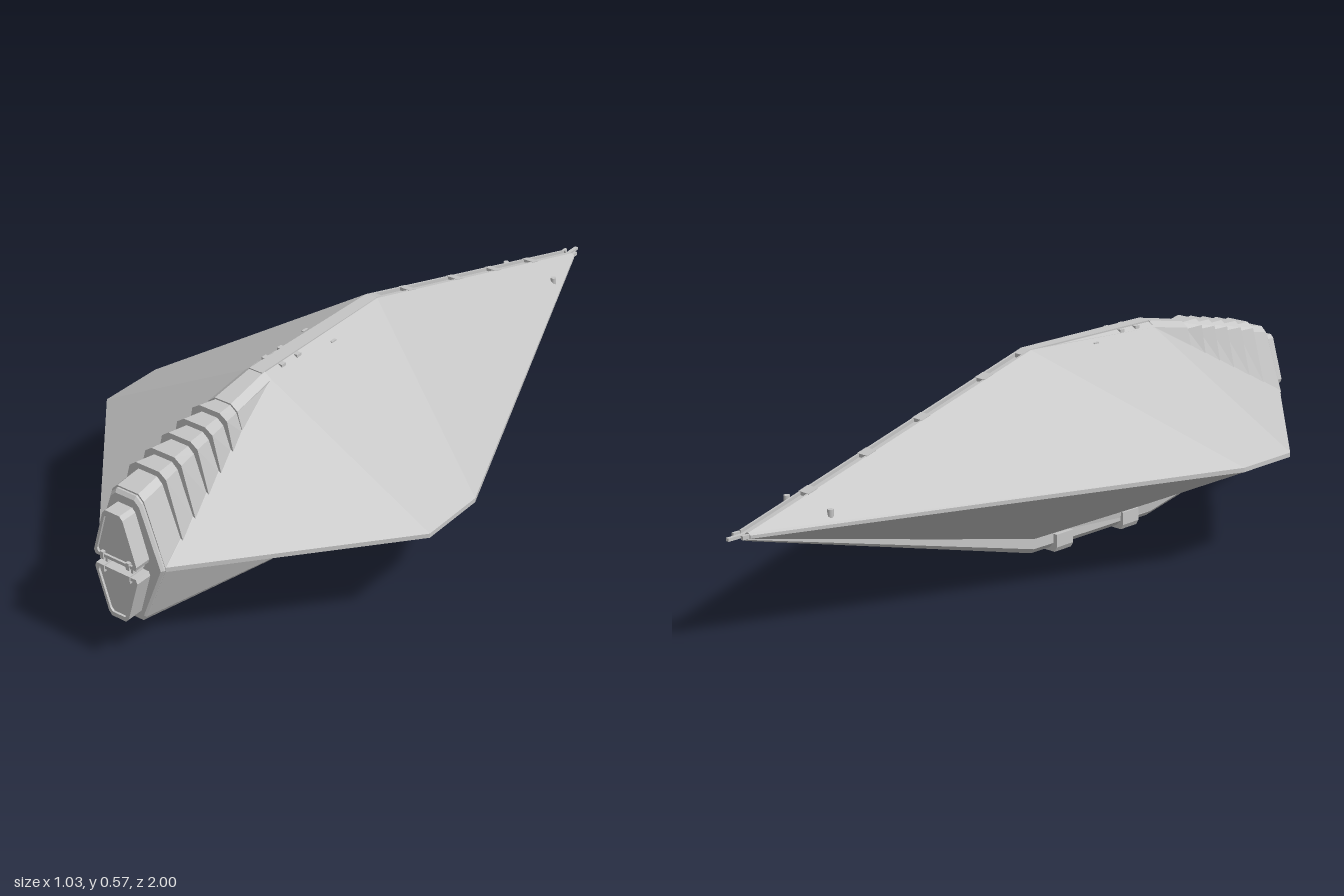
import * as THREE from 'three';

const TAIL = -0.95, NOSE = 0.94, MID = 0.286;

// Mirror a right-hand half profile (bottom to top) into a closed section at z
const ring = (half, z) => {
  const right = half.map(p => [p[0], p[1], p[2] ?? z]);
  return right.concat(right.map(p => [-p[0], p[1], p[2]]).reverse());
};

// Skin sections running from back to front, with flat facets and end caps
function loft(rings) {
  const pos = [];
  const tri = (a, b, c) => {
    const [A, B, C] = [a, b, c].map(p => new THREE.Vector3(...p));
    if (B.clone().sub(A).cross(C.clone().sub(A)).length() > 1e-9) pos.push(...a, ...b, ...c);
  };
  const n = rings[0].length;
  for (let r = 0; r < rings.length - 1; r++) {
    for (let i = 0; i < n; i++) {
      const j = (i + 1) % n, p = rings[r], q = rings[r + 1];
      tri(p[i], p[j], q[j]);
      tri(p[i], q[j], q[i]);
    }
  }
  const first = rings[0], last = rings[rings.length - 1];
  for (let i = 1; i < n - 1; i++) {
    tri(first[0], first[i + 1], first[i]);
    tri(last[0], last[i], last[i + 1]);
  }
  const g = new THREE.BufferGeometry();
  g.setAttribute('position', new THREE.Float32BufferAttribute(pos, 3));
  g.computeVertexNormals();
  return g;
}

export function createModel() {
  const model = new THREE.Group();
  const grey = new THREE.MeshStandardMaterial({ color: 0xc5c5c5 });
  grey.name = 'hull grey';
  const add = (name, geometry, x = 0, y = 0, z = 0) => {
    const m = new THREE.Mesh(geometry, grey);
    m.name = name;
    m.position.set(x, y, z);
    model.add(m);
    return m;
  };
  const box = (name, w, h, d, x, y, z) => add(name, new THREE.BoxGeometry(w, h, d), x, y, z);

  // Diamond hull with a thin band around its widest edge and a groove along the rear ridge
  add('hull', loft([
    ring([[0.012, 0.281], [0.024, 0.283], [0.024, 0.291], [0.016, 0.296], [0.011, 0.296], [0.011, 0.288]], TAIL),
    ring([[0.025, 0.05, 0], [0.515, 0.281, 0.27], [0.515, 0.293, 0.27], [0.018, 0.565, 0], [0.011, 0.565, 0], [0.011, 0.555, 0]]),
    ring([[0.04, 0.05], [0.515, 0.281], [0.515, 0.293], [0.04, 0.55], [0.02, 0.562], [0.011, 0.562]], 0.46),
    ring([[0.105, 0.281], [0.105, 0.281], [0.105, 0.293], [0.105, 0.293], [0.105, 0.293], [0.105, 0.293]], NOSE),
  ]));

  // Flat ridge cap closing the front of the groove
  add('ridgeCap', loft([
    ring([[0.011, 0.54], [0.011, 0.557]], -0.03),
    ring([[0.016, 0.55], [0.016, 0.566]], 0),
    ring([[0.02, 0.55], [0.02, 0.566]], 0.47),
  ]));

  // Keel running from the tail to the nose
  add('keel', loft([
    ring([[0.008, 0.274], [0.014, 0.278], [0.014, 0.284]], TAIL),
    ring([[0.018, 0.01], [0.03, 0.024], [0.03, 0.06]], 0),
    ring([[0.022, 0.01], [0.036, 0.024], [0.04, 0.052]], 0.46),
    ring([[0.03, 0.112], [0.04, 0.126], [0.105, 0.285]], NOSE),
  ]));

  // Keel clamps
  for (const z of [0.105, 0.37]) {
    const clamp = [[0.036, 0], [0.044, 0.014], [0.044, 0.05]];
    add('keelClamp', loft([ring(clamp, z - 0.032), ring(clamp, z + 0.032)]));
  }

  // Stepped spine plates, each flaring towards the nose
  const spineRing = (z, flare) => {
    const t = (z - 0.46) / (NOSE - 0.46);
    const top = 0.565 - 0.1 * t + flare;
    return ring([
      [0.04 + 0.063 * t + flare * 0.4, 0.545 - 0.255 * t],
      [0.04 + 0.005 * t + flare * 0.8, top - 0.015],
      [0.02 + 0.01 * t + flare * 0.5, top],
    ], z);
  };
  const steps = [0.46, 0.595, 0.645, 0.7, 0.755, 0.815, 0.87, NOSE];
  for (let i = 0; i < steps.length - 1; i++) {
    const flare = i === 0 || i === steps.length - 2 ? 0.004 : 0.015;
    add('spinePlate', loft([spineRing(steps[i], 0), spineRing(steps[i + 1], flare)]));
  }

  // Six-sided nose plate with a bevelled rim
  const nose = [[0.03, 0.112], [0.04, 0.126], [0.105, MID], [0.046, 0.45], [0.03, 0.465]];
  const inset = (pts, s, cy) => pts.map(([x, y]) => [x * s, cy + (y - cy) * s]);
  add('nosePlate', loft([ring(nose, 0.925), ring(nose, 0.945), ring(inset(nose, 0.95, MID), 0.952)]));

  // Upper and lower nose doors with recessed centres
  const upper = [[0.062, 0.297], [0.066, 0.308], [0.031, 0.424], [0.022, 0.434]];
  const lower = upper.map(([x, y]) => [x, 0.569 - y]).reverse();
  for (const [name, pts, cy] of [['upperDoor', upper, 0.355], ['lowerDoor', lower, 0.214]]) {
    const inner = inset(pts, 0.85, cy);
    add(name, loft([ring(pts, 0.945), ring(pts, 0.997), ring(inner, 0.997), ring(inner, 0.991)]));
  }

  // Hinge bar and hinges between the doors
  box('hingeBar', 0.1, 0.008, 0.03, 0, 0.285, 0.965);
  for (const x of [-0.04, 0.04]) {
    box('hinge', 0.01, 0.02, 0.05, x, 0.302, 0.975);
    box('hinge', 0.01, 0.02, 0.05, x, 0.265, 0.975);
    box('hingeLink', 0.006, 0.04, 0.02, x, 0.284, 0.975);
  }

  // Short bridges across the rear groove, flush with the ridge
  const ridgeY = z => 0.565 + z * (0.565 - 0.296) / 0.95;
  for (const c of [-0.75, -0.56, -0.375, -0.155]) {
    const section = z => ring([[0.018, ridgeY(z) - 0.008], [0.018, ridgeY(z) + 0.001]], z);
    add('ridgeBridge', loft([section(c - 0.015), section(c + 0.015)]));
  }

  // Clips, rear studs and tail prongs
  for (const s of [-1, 1]) {
    for (const z of [0.34, 0.4]) box('ridgeClip', 0.014, 0.012, 0.016, s * 0.025, 0.557, z);
    box('sideClip', 0.014, 0.014, 0.018, s * 0.041, 0.544, 0.22);
    add('rearStud', new THREE.CylinderGeometry(0.008, 0.008, 0.02, 8), s * 0.08, 0.312, -0.75);
    box('tailProng', 0.008, 0.01, 0.05, s * 0.017, 0.288, -0.945);
  }
  box('tailSpike', 0.01, 0.008, 0.07, 0, 0.287, -0.965);

  return model;
}
